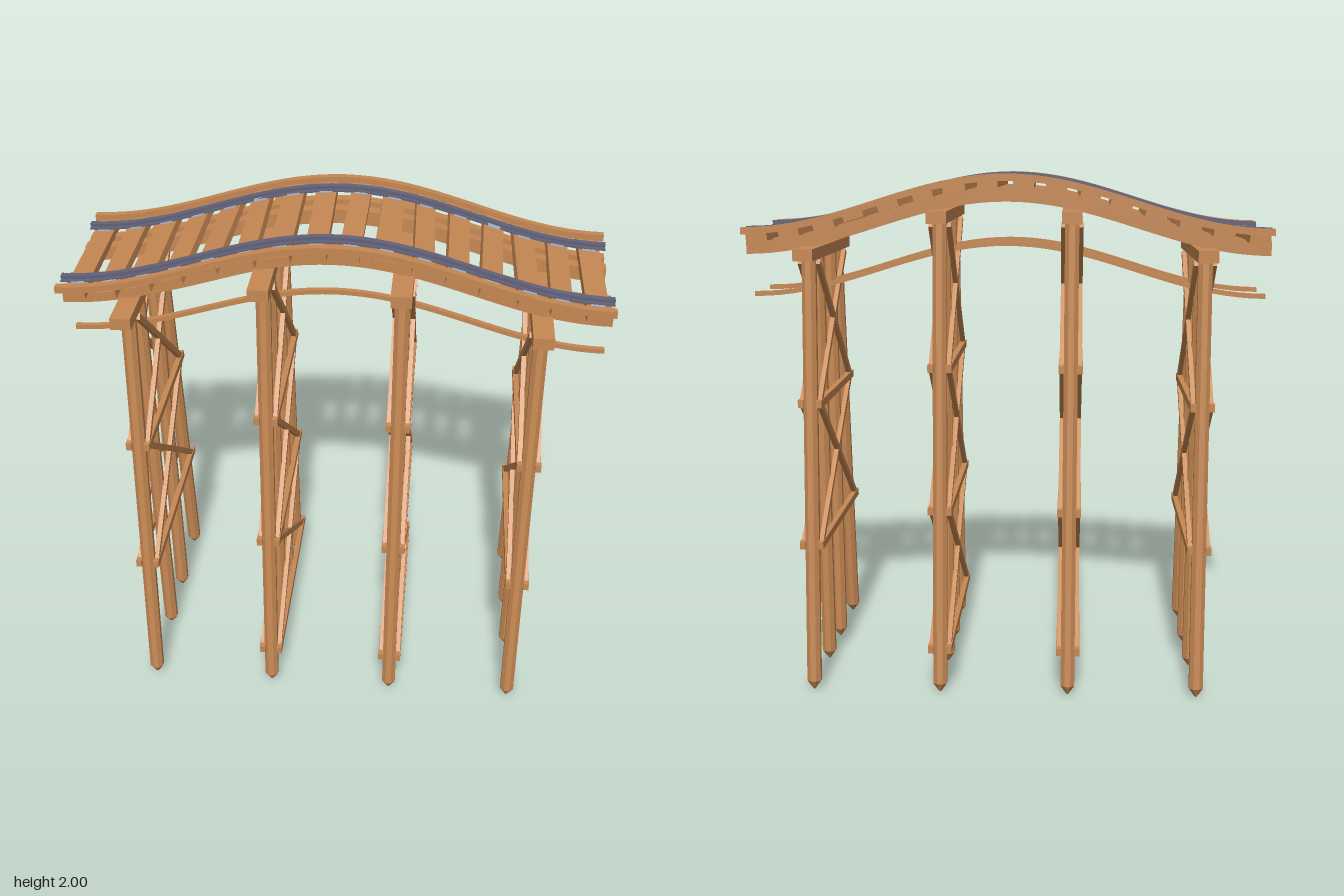
import * as THREE from 'three';
import { toCreasedNormals } from 'three/addons/utils/BufferGeometryUtils.js';

export function createModel() {
  const model = new THREE.Group();
  const wood = new THREE.MeshStandardMaterial({ color: 0xc68853 });
  wood.name = 'timber';
  const steel = new THREE.MeshStandardMaterial({ color: 0x62627a });
  steel.name = 'rail steel';
  const pale = new THREE.MeshStandardMaterial({ color: 0xa9b0ba });
  pale.name = 'plate steel';

  // Height of the track hump along x
  const rise = (x) => 0.1 * (1 + Math.cos(Math.PI * x));
  const slope = (x) => Math.atan(-0.1 * Math.PI * Math.sin(Math.PI * x));

  let seed = 7;
  const jitter = (a) => {
    seed = (seed * 16807) % 2147483647;
    return (seed / 2147483647 - 0.5) * 2 * a;
  };

  function add(parent, name, geometry, material, x = 0, y = 0, z = 0) {
    const mesh = new THREE.Mesh(geometry, material);
    mesh.name = name;
    mesh.position.set(x, y, z);
    parent.add(mesh);
    return mesh;
  }

  // Beam that follows the hump, y0 to y1 above the ends, centred on z
  function curvedBeam(name, y0, y1, z, width, material) {
    const shape = new THREE.Shape();
    const n = 40;
    shape.moveTo(-1, y0);
    for (let i = 0; i <= n; i++) {
      const x = -1 + (2 * i) / n;
      shape.lineTo(x, y0 + rise(x));
    }
    for (let i = n; i >= 0; i--) {
      const x = -1 + (2 * i) / n;
      shape.lineTo(x, y1 + rise(x));
    }
    const geo = new THREE.ExtrudeGeometry(shape, { depth: width, bevelEnabled: false });
    add(model, name, toCreasedNormals(geo, 0.5), material, 0, 0, z - width / 2);
  }

  // Straight box timber in a plane of constant x
  function strut(parent, name, x, y0, z0, y1, z1, thick, high) {
    const length = Math.hypot(y1 - y0, z1 - z0);
    const mesh = add(parent, name, new THREE.BoxGeometry(thick, high, length), wood,
      x, (y0 + y1) / 2, (z0 + z1) / 2);
    mesh.rotation.x = -Math.atan2(y1 - y0, z1 - z0);
  }

  // Eight-sided pile with a sharpened foot
  const R = 0.029;
  const TIP = 0.035;
  function pile(parent, z0, z1, top) {
    const g = new THREE.Group();
    g.name = 'pile';
    const length = Math.hypot(top, z1 - z0);
    const shaft = new THREE.CylinderGeometry(R, R, length - TIP, 8);
    const foot = new THREE.CylinderGeometry(R, 0.004, TIP, 8);
    for (const geo of [shaft, foot]) geo.rotateY(Math.PI / 8);
    add(g, 'pileShaft', toCreasedNormals(shaft, 0.4), wood, 0, TIP + (length - TIP) / 2, 0);
    add(g, 'pileFoot', toCreasedNormals(foot, 0.4), wood, 0, TIP / 2, 0);
    g.position.z = z0;
    g.rotation.x = Math.atan2(z1 - z0, top);
    parent.add(g);
  }

  // Trestle bents: cap, four piles, girts and cross braces on both faces
  const legZ = (y) => 0.435 - 0.098 * y;
  function bent(x, top, girts) {
    const g = new THREE.Group();
    g.name = 'bent';
    g.position.x = x;
    add(g, 'cap', new THREE.BoxGeometry(0.075, 0.045, 0.78), wood, 0, top + 0.0225, 0);
    for (const s of [-1, 1]) {
      pile(g, s * 0.435, s * legZ(top), top);
      pile(g, s * 0.125, s * 0.125, top);
    }
    for (const face of [-1, 1]) {
      let upper = top - 0.01;
      for (const y of girts) {
        const zg = legZ(y) + 0.025;
        strut(g, 'girt', face * 0.035, y, -zg, y, zg, 0.022, 0.03);
        for (const s of [-1, 1])
          strut(g, 'crossBrace', face * 0.034, y, -s * legZ(y), upper, s * legZ(upper), 0.018, 0.024);
        upper = y;
      }
    }
    model.add(g);
  }
  for (const s of [-1, 1]) {
    bent(s * 0.75, 1.68, [1.13, 0.58]);
    bent(s * 0.25, 1.82, [1.27, 0.72, 0.175]);
  }

  // Long curved members, mirrored across the track
  for (const s of [-1, 1]) {
    curvedBeam('innerStringer', 1.695, 1.75, s * 0.125, 0.045, wood);
    curvedBeam('outerStringer', 1.695, 1.75, s * 0.212, 0.042, wood);
    curvedBeam('lowerTieRod', 1.522, 1.54, s * 0.125, 0.02, wood);
    curvedBeam('guardTimber', 1.774, 1.8, s * 0.298, 0.028, wood);
    curvedBeam('railBase', 1.779, 1.785, s * 0.215, 0.042, steel);
    curvedBeam('railWeb', 1.785, 1.793, s * 0.215, 0.012, steel);
    curvedBeam('railHead', 1.792, 1.8, s * 0.215, 0.024, steel);
  }

  // Slightly uneven ties with rail plates
  for (let i = 0; i < 16; i++) {
    const x = -0.9375 + i * 0.125;
    const tie = new THREE.Group();
    tie.name = 'tie';
    tie.position.set(x, 1.763 + rise(x), 0);
    tie.rotation.set(jitter(0.008), jitter(0.025), slope(x));
    add(tie, 'tieTimber', new THREE.BoxGeometry(0.08 + jitter(0.006), 0.03, 0.63), wood, 0, 0, jitter(0.012));
    for (const s of [-1, 1])
      add(tie, 'railPlate', new THREE.BoxGeometry(0.05, 0.005, 0.062), pale, 0, 0.0165, s * 0.215);
    model.add(tie);
  }
  return model;
}
